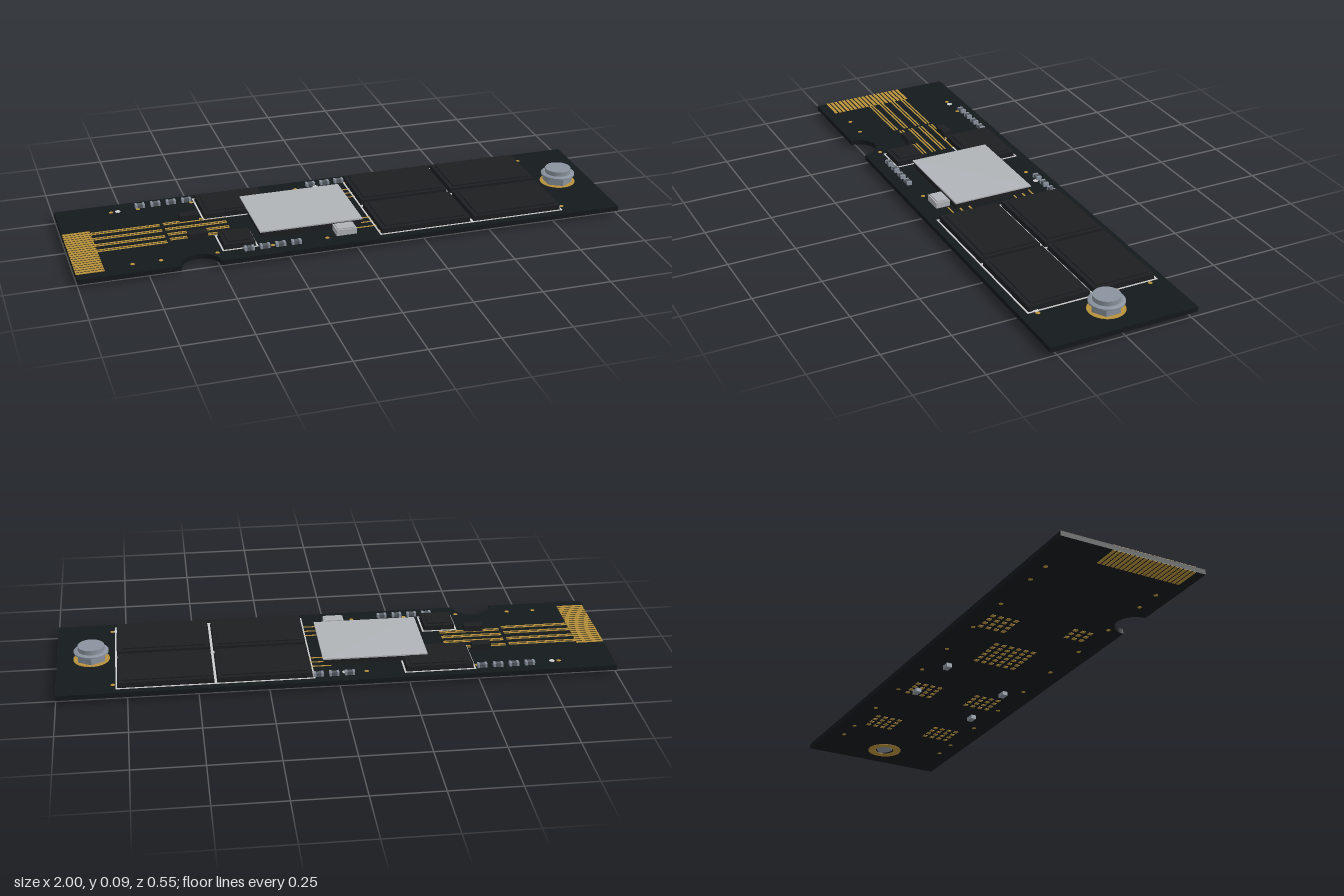
import * as THREE from 'three';
import { mergeGeometries } from 'three/addons/utils/BufferGeometryUtils.js';

const mat = (color) => new THREE.MeshStandardMaterial({ color });
const BOTTOM = 0.015, TOP = 0.033;

export function createModel() {
  const model = new THREE.Group();
  const board = mat(0x14191c), chip = mat(0x1c1e21), gold = mat(0xb8913a);
  const silver = mat(0xb0b3b7), steel = mat(0x8a939e), white = mat(0xd8dadc), grey = mat(0x555a60);

  const add = (name, geometries, material) => {
    const mesh = new THREE.Mesh(mergeGeometries([geometries].flat()), material);
    mesh.name = name;
    model.add(mesh);
    return mesh;
  };
  // box from centre x, z, sizes and bottom / top heights
  const box = (x, z, w, d, y0, y1) =>
    new THREE.BoxGeometry(w, y1 - y0, d).translate(x, (y0 + y1) / 2, z);
  const disc = (x, z, r, y0, y1, sides = 10) =>
    new THREE.CylinderGeometry(r, r, y1 - y0, sides).translate(x, (y0 + y1) / 2, z);
  // thin printed rectangle around a chip
  const outline = (x, z, w, d, t = 0.006) => [-1, 1].flatMap((s) => [
    box(x + s * w / 2, z, t, d + t, TOP, TOP + 0.0015),
    box(x, z + s * d / 2, w, t, TOP, TOP + 0.0015),
  ]);

  // Board with edge notch and mounting hole (shape y becomes -z)
  const s = new THREE.Shape();
  s.moveTo(-1, -0.275);
  s.lineTo(-0.64, -0.275);
  s.absarc(-0.57, -0.275, 0.07, Math.PI, 0, true);
  s.lineTo(1, -0.275);
  s.lineTo(1, 0.275);
  s.lineTo(-1, 0.275);
  s.closePath();
  s.holes.push(new THREE.Path().absarc(0.875, 0, 0.036, 0, Math.PI * 2, true));
  add('circuitBoard', new THREE.ExtrudeGeometry(s, { depth: TOP - BOTTOM, bevelEnabled: false, curveSegments: 20 })
    .rotateX(-Math.PI / 2).translate(0, BOTTOM, 0), board);

  // Gold ring around the mounting hole, both faces
  const ring = new THREE.Shape().absarc(0, 0, 0.066, 0, Math.PI * 2);
  ring.holes.push(new THREE.Path().absarc(0, 0, 0.036, 0, Math.PI * 2, true));
  add('mountingRing', [BOTTOM - 0.0015, TOP].map((y) =>
    new THREE.ExtrudeGeometry(ring, { depth: 0.0015, bevelEnabled: false, curveSegments: 16 })
      .rotateX(-Math.PI / 2).translate(0.875, y, 0)), gold);

  // Edge connector contacts, both faces
  const fingers = [];
  for (let i = 0; i < 19; i++) {
    const z = -0.075 + i * 0.017;
    fingers.push(box(-0.95, z, 0.1, 0.0115, TOP, TOP + 0.0015));
    fingers.push(box(-0.95, z, 0.1, 0.0115, BOTTOM - 0.0015, BOTTOM));
  }
  add('edgeContacts', fingers, gold);

  // Paired signal traces and short traces beside the controller
  const traces = [];
  for (const off of [-0.006, 0.006]) {
    for (const z of [-0.058, -0.014, 0.036, 0.08])
      traces.push(box(-0.775, z + off, 0.25, 0.006, TOP, TOP + 0.0015));
    for (const z of [-0.062, -0.018, 0.024, 0.064])
      traces.push(box(-0.525, z + off, 0.225, 0.006, TOP, TOP + 0.0015));
  }
  for (const z of [-0.155, -0.122, -0.088, 0.096, 0.132, 0.168])
    traces.push(box(0.06, z, 0.08, 0.006, TOP, TOP + 0.0015));
  add('traces', traces, gold);

  // Plated vias through the board, and white marker dots
  const vias = [];
  for (const x of [-0.8, -0.7, -0.5, -0.3, -0.1, 0.1, 0.3, 0.5, 0.7, 0.8])
    for (const z of [-0.213, 0.213]) vias.push(disc(x, z, 0.008, BOTTOM - 0.001, TOP + 0.001));
  add('vias', vias, gold);
  add('markerDots', [[-0.775, -0.213], [-0.022, -0.213], [0.785, 0.213]]
    .map(([x, z]) => disc(x, z, 0.01, TOP, TOP + 0.002)), white);

  // Chips: x, z, width, depth, solder pad count per side
  const chips = [
    ['memoryChip', 0.264, -0.125, 0.335, 0.228, 4], ['memoryChip', 0.614, -0.125, 0.335, 0.228, 4],
    ['memoryChip', 0.264, 0.123, 0.335, 0.228, 4], ['memoryChip', 0.614, 0.123, 0.335, 0.228, 4],
    ['bufferChip', -0.363, -0.148, 0.24, 0.172, 4], ['powerChip', -0.415, 0.143, 0.112, 0.112, 3],
    ['controllerChip', -0.14, 0, 0.37, 0.296, 6],
  ];
  const lines = [], pads = [];
  for (const [name, x, z, w, d, n] of chips) {
    add(name, [box(x, z, w, d, TOP, 0.052), box(x, z, w - 0.03, d - 0.03, 0.052, 0.057)], chip);
    if (n < 6) lines.push(...outline(x, z, w + 0.012, d + 0.012));
    for (let i = 0; i < n; i++) for (let j = 0; j < n; j++)
      pads.push(box(x + (i - (n - 1) / 2) * 0.03, z + (j - (n - 1) / 2) * 0.03, 0.016, 0.016, BOTTOM - 0.0015, BOTTOM));
  }
  add('chipOutlines', lines, white);
  add('undersidePads', pads, gold);
  add('controllerLid', box(-0.14, -0.002, 0.38, 0.306, 0.056, 0.061), silver);

  // Oscillator and inductors
  add('oscillator', [box(-0.027, 0.183, 0.075, 0.054, TOP, 0.055), box(-0.027, 0.183, 0.065, 0.044, 0.055, 0.059)], silver);
  add('inductors', [-0.078, 0.074].map((z) => box(-0.54, z, 0.07, 0.034, TOP, 0.056)), chip);

  // Small surface capacitors with metal ends
  const bodies = [], ends = [];
  const capRow = (x0, step, count, z) => {
    for (let i = 0; i < count; i++) {
      const x = x0 + i * step;
      bodies.push(box(x, z, 0.02, 0.018, TOP, 0.046));
      for (const e of [-1, 1]) ends.push(box(x + e * 0.0135, z, 0.008, 0.02, TOP, 0.047));
    }
  };
  capRow(-0.69, 0.058, 4, -0.228);
  capRow(-0.038, 0.056, 3, -0.228);
  capRow(-0.388, 0.057, 4, 0.222);
  add('capacitorBodies', bodies, grey);
  add('capacitorEnds', ends, steel);

  // Components hanging under the board
  add('undersideCapacitors', [[0.02, -0.15], [0.145, 0.15], [0.27, -0.15], [0.4, 0.15]]
    .map(([x, z]) => box(x, z, 0.034, 0.02, 0, BOTTOM)), steel);

  // Hex standoff, washer and screw head
  const screw = new THREE.Group();
  screw.name = 'mountingScrew';
  const hex = add('standoff', disc(0.875, 0, 0.055, TOP, 0.062, 6), steel);
  hex.material = steel.clone();
  hex.material.flatShading = true;
  screw.add(hex,
    add('washer', [disc(0.875, 0, 0.063, 0.062, 0.068, 32),
      new THREE.CylinderGeometry(0.054, 0.063, 0.003, 32).translate(0.875, 0.0695, 0)], steel),
    add('screwHead', disc(0.875, 0, 0.048, 0.07, 0.088, 32), steel),
    add('screwShaft', disc(0.875, 0, 0.03, BOTTOM + 0.002, TOP, 24), steel));
  model.add(screw);
  return model;
}
